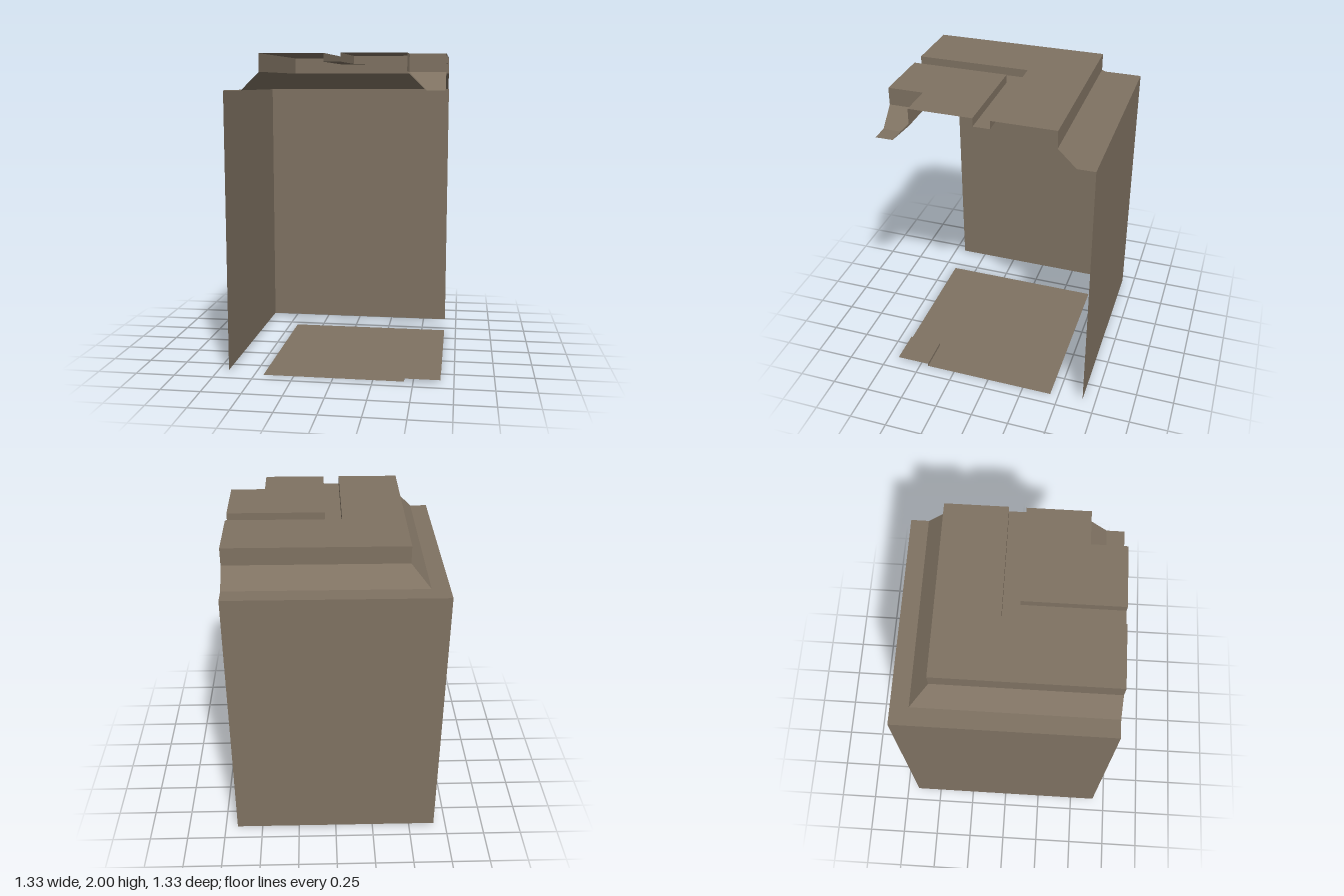
import * as THREE from 'three';

const EDGE = 0.667; // open ends of every strip

const stone = new THREE.MeshStandardMaterial({ color: 0x7f7262, side: THREE.DoubleSide });
stone.name = 'warmStone';

// Sweeps a profile of [offset, height] points along an L-shaped path:
// from the +x edge to the corner on the diagonal, then to the +z edge.
function cornerSweep(name, profile) {
  const pos = [];
  const row = ([r, y]) => [[EDGE, y, r], [r, y, r], [r, y, EDGE]];
  for (let i = 0; i < profile.length - 1; i++) {
    const a = row(profile[i]);
    const b = row(profile[i + 1]);
    for (let j = 0; j < 2; j++) {
      pos.push(...a[j], ...a[j + 1], ...b[j + 1], ...a[j], ...b[j + 1], ...b[j]);
    }
  }
  const geometry = new THREE.BufferGeometry();
  geometry.setAttribute('position', new THREE.Float32BufferAttribute(pos, 3));
  geometry.computeVertexNormals();
  const mesh = new THREE.Mesh(geometry, stone);
  mesh.name = name;
  return mesh;
}

export function createModel() {
  const group = new THREE.Group();
  group.name = 'cornerBlock';

  group.add(
    // two tall outer walls
    cornerSweep('walls', [[-EDGE, 0.02], [-EDGE, 1.78]]),
    // flat ledge, sloped shoulder and upright rim
    cornerSweep('shoulder', [[-EDGE, 1.78], [-0.556, 1.78], [-0.444, 1.89], [-0.444, 2]]),
    // outer band of the top
    cornerSweep('topBand', [[-0.444, 2], [-0.052, 2]]),
    // shallow channel cut into the top
    cornerSweep('topGroove', [[-0.052, 2], [-0.052, 1.948], [0.052, 1.948], [0.052, 2]]),
    // inner panel of the top
    cornerSweep('topPanel', [[0.052, 2], [0.444, 2]]),
    // stepped pit at the open corner
    cornerSweep('cornerPit', [[0.444, 2], [0.444, 1.89], [0.556, 1.78], [EDGE, 1.78]]),
    // base plate with its raised corner, facing down
    cornerSweep('basePlate', [[EDGE, 0.02], [0.444, 0.02], [0.444, 0], [-0.444, 0]])
  );
  return group;
}
